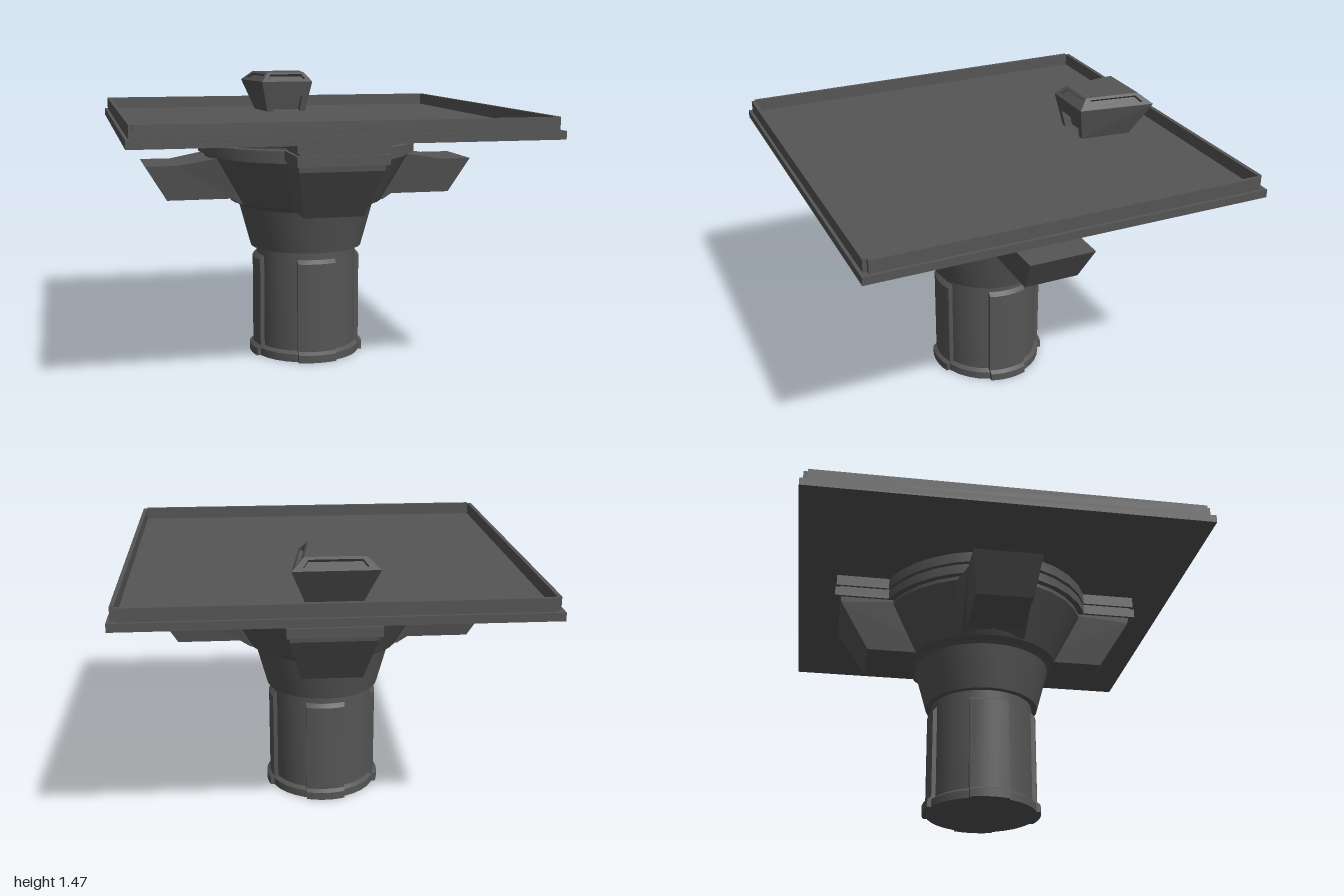
import * as THREE from 'three';
import { toCreasedNormals, mergeGeometries } from 'three/addons/utils/BufferGeometryUtils.js';
import { ConvexGeometry } from 'three/addons/geometries/ConvexGeometry.js';

const V = (x, y, z) => new THREE.Vector3(x, y, z);
const metal = new THREE.MeshStandardMaterial({ color: 0x555555 });

function add(parent, name, geometry) {
  const mesh = new THREE.Mesh(geometry, metal);
  mesh.name = name;
  parent.add(mesh);
  return mesh;
}

function box(x0, x1, y0, y1, z0, z1) {
  return new THREE.BoxGeometry(x1 - x0, y1 - y0, z1 - z0)
    .translate((x0 + x1) / 2, (y0 + y1) / 2, (z0 + z1) / 2);
}

// Turned body from [radius, height] pairs
function turned(profile) {
  const points = profile.map(([r, y]) => new THREE.Vector2(r, y));
  return toCreasedNormals(new THREE.LatheGeometry(points, 32), 0.35);
}

// Convex solid from points mirrored in z
function mirroredHull(points) {
  return new ConvexGeometry(points.flatMap(([x, y, z]) => [V(x, y, z), V(x, y, -z)]));
}

// Curved rib: a profile swept across its width, then bent round the column
function columnRib() {
  const profile = [[0.2, 0], [0.303, 0], [0.303, 0.04], [0.285, 0.055],
    [0.285, 0.52], [0.268, 0.54], [0.2, 0.54]];
  const shape = new THREE.Shape(profile.map(([r, y]) => new THREE.Vector2(r, y)));
  const geo = new THREE.ExtrudeGeometry(shape, { depth: 0.2, steps: 6, bevelEnabled: false });
  geo.translate(0, 0, -0.1);
  const p = geo.attributes.position;
  for (let i = 0; i < p.count; i++) {
    p.setX(i, Math.sqrt(p.getX(i) ** 2 - p.getZ(i) ** 2));
  }
  return toCreasedNormals(geo, 0.35);
}

// Quad (a, b bottom, c, d top) with a sunken window u0..u1, v0..v1
function recessedQuad(out, [a, b, c, d], u0, u1, v0, v1, depth) {
  const quad = (p, q, r, s) => out.push(p, q, r, p, r, s);
  if (!depth) return quad(a, b, c, d);
  const at = (u, v) => a.clone().lerp(b, u).lerp(d.clone().lerp(c, u), v);
  const normal = b.clone().sub(a).cross(d.clone().sub(a)).normalize();
  const outer = [a, b, c, d];
  const rim = [at(u0, v0), at(u1, v0), at(u1, v1), at(u0, v1)];
  const floor = rim.map((p) => p.clone().addScaledVector(normal, -depth));
  for (let i = 0; i < 4; i++) {
    const j = (i + 1) % 4;
    quad(outer[i], outer[j], rim[j], rim[i]);
    quad(rim[i], rim[j], floor[j], floor[i]);
  }
  quad(...floor);
}

// Tapered console with slots in its bevels and a notch in its front foot
function consoleGeometry() {
  const ring = (y, zFront, wFront, zBack, wBack) => [
    V(-wFront, y, zFront), V(wFront, y, zFront), V(wBack, y, zBack), V(-wBack, y, zBack)];
  const foot = ring(1.25, -0.495, 0.11, -0.76, 0.135);
  const waist = ring(1.42, -0.46, 0.145, -0.855, 0.2);
  const top = ring(1.47, -0.51, 0.105, -0.795, 0.14);
  const out = [];
  for (let i = 0; i < 4; i++) {
    const j = (i + 1) % 4;
    recessedQuad(out, [foot[i], foot[j], waist[j], waist[i]], 0.15, 0.85, 0, 0.52, i === 0 ? 0.04 : 0);
    recessedQuad(out, [waist[i], waist[j], top[j], top[i]], 0.1, 0.9, 0.25, 0.8, 0.018);
  }
  recessedQuad(out, top, 0, 1, 0, 1, 0);
  const geo = new THREE.BufferGeometry().setFromPoints(out);
  geo.computeVertexNormals();
  return geo;
}

export function createModel() {
  const model = new THREE.Group();
  model.name = 'platform';

  // Column with its four ribs
  add(model, 'column', turned([[0, 0], [0.285, 0], [0.285, 0.04], [0.265, 0.055], [0.265, 0.58],
    [0.295, 0.58], [0.355, 0.8], [0.375, 0.82]]));
  for (let i = 0; i < 4; i++) {
    add(model, 'columnRib', columnRib()).rotation.y = i * Math.PI / 2;
  }

  // Flared head and grooved collar
  add(model, 'flaredHead', turned([[0.34, 0.8], [0.36, 0.81], [0.4, 0.825], [0.54, 1.07], [0.54, 1.09],
    [0.57, 1.09], [0.57, 1.135], [0.555, 1.14], [0.555, 1.15], [0.57, 1.155], [0.57, 1.215]]));

  // Front and back brackets with a lip that continues the collar
  const bracket = mergeGeometries([
    mirroredHull([[0.2, 1.1, 0.21], [0.775, 1.1, 0.21], [0.77, 1.06, 0.205],
      [0.62, 0.822, 0.15], [0.2, 0.822, 0.15]]),
    ...[[1.09, 1.138, 0.805, 0.222], [1.13, 1.16, 0.785, 0.207], [1.152, 1.215, 0.8, 0.22]]
      .map(([y0, y1, end, w]) => {
        const geo = box(0.2, end, y0, y1, -w, w).toNonIndexed();
        geo.deleteAttribute('uv');
        return geo;
      }),
  ]);
  for (const turn of [-1, 1]) {
    add(model, turn < 0 ? 'frontBracket' : 'backBracket', bracket).rotation.y = turn * Math.PI / 2;
  }

  // Side arms: a slanted tip and a flare into the head
  const middle = [[0.7, 1.035, 0.17], [0.4, 0.855, 0.14]];
  const sideArm = mergeGeometries([
    mirroredHull([...middle, [0.86, 1.035, 0.17], [0.75, 0.855, 0.14]]),
    mirroredHull([...middle, [0.5, 1.07, 0.2], [0.38, 0.83, 0.165], [0.3, 1.07, 0.2], [0.3, 0.83, 0.165]]),
  ]);
  add(model, 'leftArm', sideArm);
  add(model, 'rightArm', sideArm).rotation.y = Math.PI;

  // Square deck with four rim strips, open at the corners
  add(model, 'deck', box(-1, 1, 1.21, 1.25, -1, 1));
  for (let i = 0; i < 4; i++) {
    add(model, 'deckRim', box(-0.965, 0.965, 1.25, 1.313, 0.965, 0.985)).rotation.y = i * Math.PI / 2;
  }

  add(model, 'console', consoleGeometry());
  return model;
}
